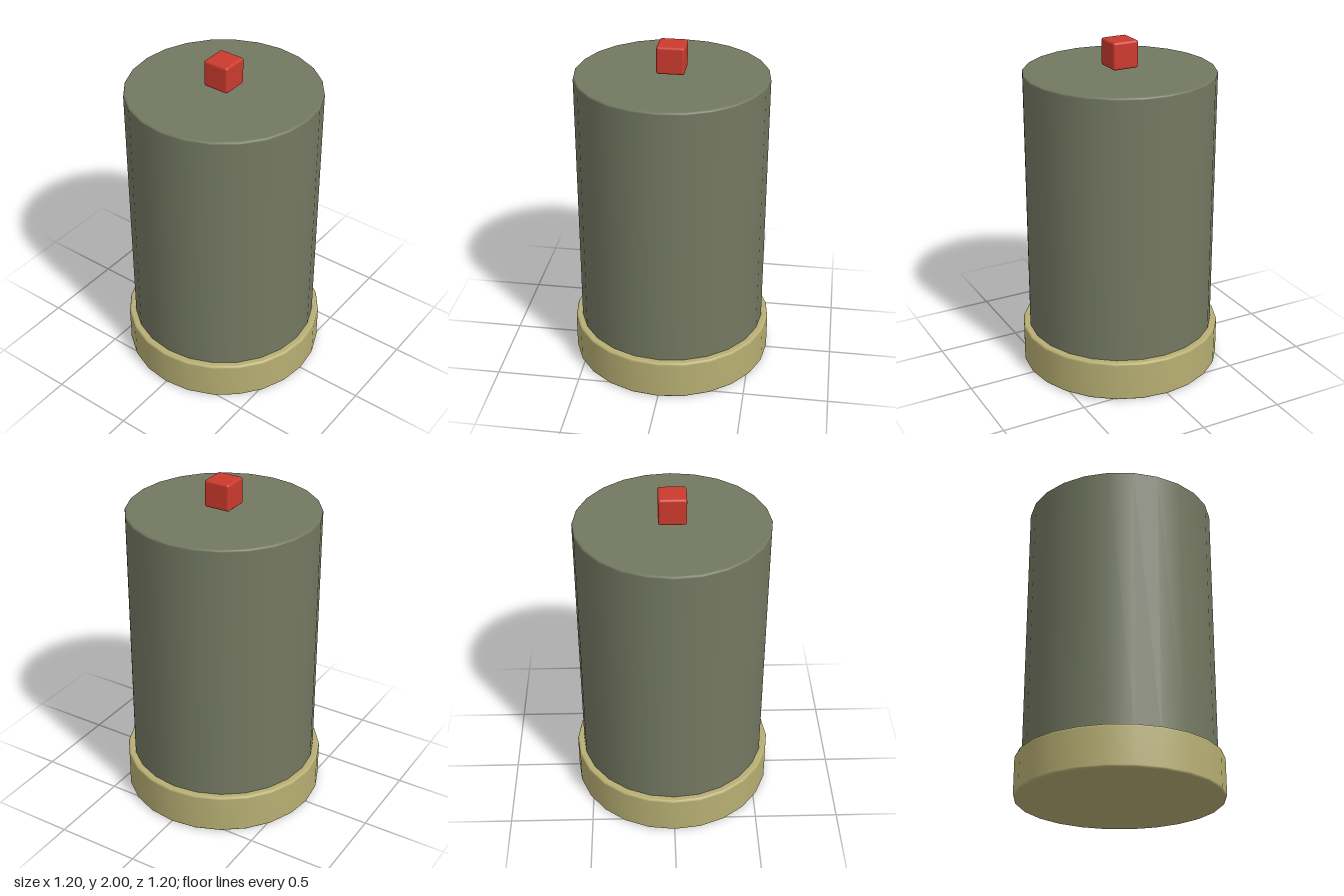
import * as THREE from 'three';
import { RoundedBoxGeometry } from 'three/addons/geometries/RoundedBoxGeometry.js';

const SIDES = 24;

// Upright 24-sided drum with softly rounded rims
function drum(name, radius, bottom, top, bevel, material) {
  const points = [new THREE.Vector2(0, bottom)];
  const steps = 3;
  for (const [y, start] of [[bottom + bevel, -Math.PI / 2], [top - bevel, 0]]) {
    for (let i = 0; i <= steps; i++) {
      const a = start + (i / steps) * Math.PI / 2;
      points.push(new THREE.Vector2(radius - bevel + bevel * Math.cos(a), y + bevel * Math.sin(a)));
    }
  }
  points.push(new THREE.Vector2(0, top));
  const mesh = new THREE.Mesh(new THREE.LatheGeometry(points, SIDES), material);
  mesh.name = name;
  return mesh;
}

export function createModel() {
  const olive = new THREE.MeshStandardMaterial({ name: 'olive body', color: 0x737861 });
  const khaki = new THREE.MeshStandardMaterial({ name: 'khaki base', color: 0xb7af73 });
  const red = new THREE.MeshStandardMaterial({ name: 'red button', color: 0xcc3a2e });

  const model = new THREE.Group();
  model.name = 'canister';

  // Wide foot ring and the tall body seated in it
  model.add(drum('base', 0.6, 0, 0.24, 0.014, khaki));
  model.add(drum('body', 0.56, 0.2, 1.82, 0.012, olive));

  // Small cube hovering just above the lid
  const button = new THREE.Mesh(new RoundedBoxGeometry(0.16, 0.16, 0.16, 3, 0.014), red);
  button.name = 'topButton';
  button.position.y = 1.92;
  model.add(button);

  return model;
}
